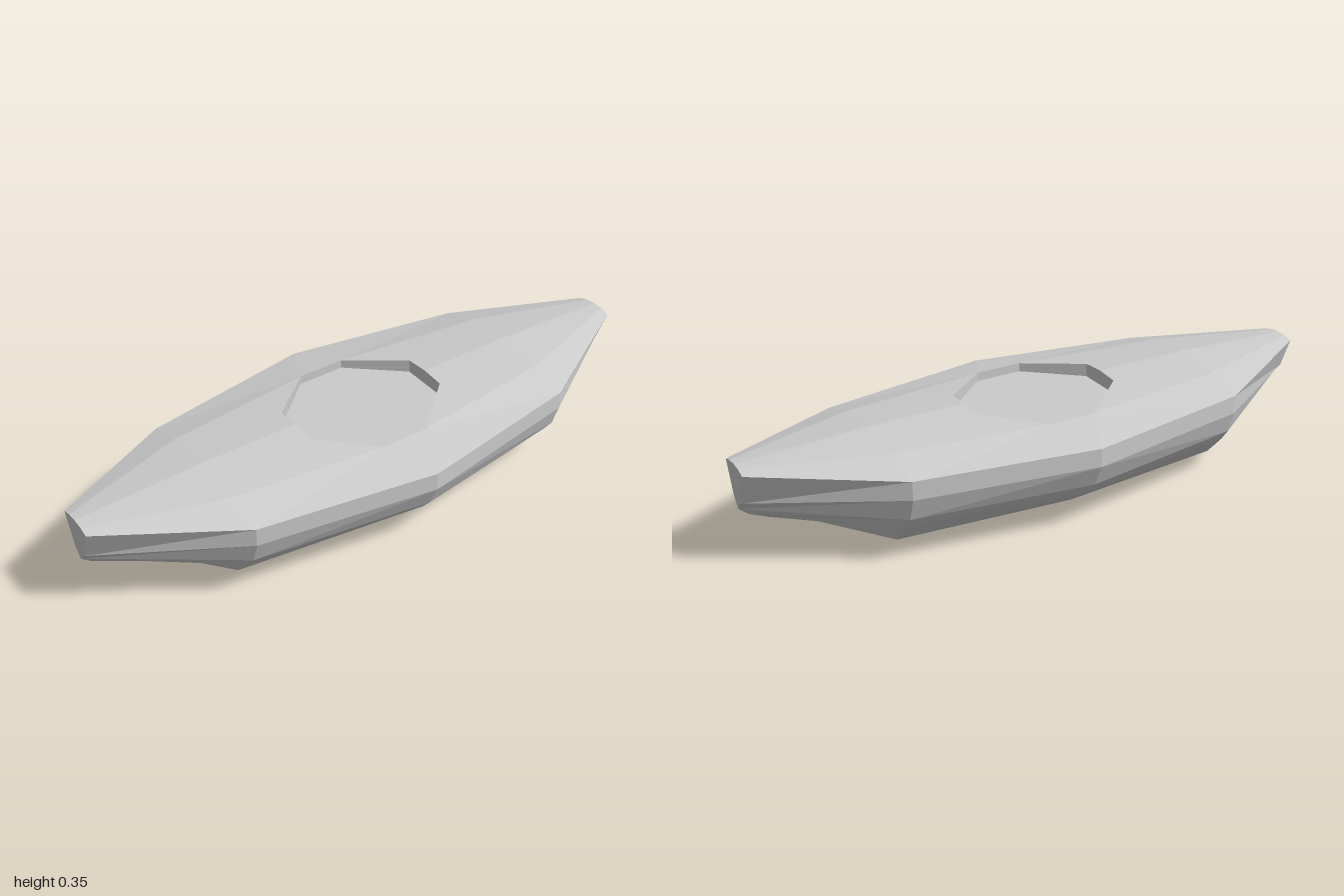
import * as THREE from 'three';

const material = new THREE.MeshStandardMaterial({ color: 0xcccccc, flatShading: true, side: THREE.DoubleSide });

// One quadrant of triangles, mirrored in x and z, each wound away from the middle of the boat
function mirroredMesh(name, tris) {
  const centre = new THREE.Vector3(0, 0.2, 0);
  const out = [];
  for (const sx of [1, -1]) for (const sz of [1, -1]) for (const tri of tris) {
    const [a, b, c] = tri.map(p => new THREE.Vector3(p[0] * sx, p[1], p[2] * sz));
    const n = b.clone().sub(a).cross(c.clone().sub(a));
    if (n.length() < 1e-7) continue;
    const mid = a.clone().add(b).add(c).divideScalar(3).sub(centre);
    for (const p of n.dot(mid) > 0 ? [a, b, c] : [a, c, b]) out.push(p.x, p.y, p.z);
  }
  return makeMesh(name, out);
}

function makeMesh(name, positions) {
  const g = new THREE.BufferGeometry();
  g.setAttribute('position', new THREE.Float32BufferAttribute(positions, 3));
  g.computeVertexNormals();
  const mesh = new THREE.Mesh(g, material);
  mesh.name = name;
  return mesh;
}

export function createModel() {
  const group = new THREE.Group();
  group.name = 'kayak';

  // Hull: rows from sheer to keel at midship and shoulder, gathered along the stem
  const middle = [[0.395, 0.296], [0.395, 0.235], [0.36, 0.16], [0.36, 0.16], [0.325, 0.12],
    [0.225, 0.045], [0.11, 0.018], [0, 0.002]].map(([x, y]) => [x, y, 0]);
  const shoulder = [[0.295, 0.296], [0.295, 0.235], [0.27, 0.16], [0.27, 0.16], [0.24, 0.12],
    [0.17, 0.045], [0.085, 0.018], [0, 0]].map(([x, y]) => [x, y, 0.58]);
  const stem = [[0.068, 0.323, 1], [0.027, 0.218, 1], [0, 0.188, 1], [0, 0.163, 0.97],
    [0, 0.136, 0.91], [0, 0.078, 0.76], [0, 0.04, 0.67], [0, 0, 0.58]];
  const hull = [];
  for (const [p, q] of [[middle, shoulder], [shoulder, stem]])
    for (let i = 0; i < p.length - 1; i++)
      hull.push([p[i], p[i + 1], q[i + 1]], [p[i], q[i + 1], q[i]]);
  group.add(mirroredMesh('hull', hull));

  // Blunt end plates at bow and stern
  const endTop = [0, 0.335, 1], endMid = [0.036, 0.332, 1];
  group.add(mirroredMesh('endPlates', [[endTop, endMid, stem[2]],
    [endMid, stem[0], stem[1]], [endMid, stem[1], stem[2]]]));

  // Deck: crowned surface around the cockpit opening
  const ridge = [0, 0.35, 0.58], mid = [0.17, 0.332, 0.58];
  const rim = [[0, 0.35, 0.25], [0.08, 0.344, 0.25], [0.23, 0.329, 0.08], [0.23, 0.329, 0]];
  group.add(mirroredMesh('deck', [
    [ridge, rim[0], rim[1]], [ridge, rim[1], mid], [mid, rim[1], rim[2]],
    [mid, rim[2], shoulder[0]], [rim[2], rim[3], middle[0]], [rim[2], middle[0], shoulder[0]],
    [ridge, mid, endMid], [ridge, endMid, endTop],
    [mid, shoulder[0], stem[0]], [mid, stem[0], endMid],
  ]));

  // Cockpit: inward-facing walls and a flat floor
  const floorY = 0.3;
  const half = rim.concat(rim.slice(0, 3).reverse().map(([x, y, z]) => [x, y, -z]));
  const loop = half.concat(half.slice(1, -1).reverse().map(([x, y, z]) => [-x, y, z]));
  const walls = [], floor = [];
  loop.forEach((a, i) => {
    const b = loop[(i + 1) % loop.length];
    const a0 = [a[0], floorY, a[2]], b0 = [b[0], floorY, b[2]];
    walls.push(...a, ...b, ...b0, ...a, ...b0, ...a0);
    floor.push(0, floorY, 0, ...a0, ...b0);
  });
  group.add(makeMesh('cockpitWalls', walls), makeMesh('cockpitFloor', floor));

  return group;
}
